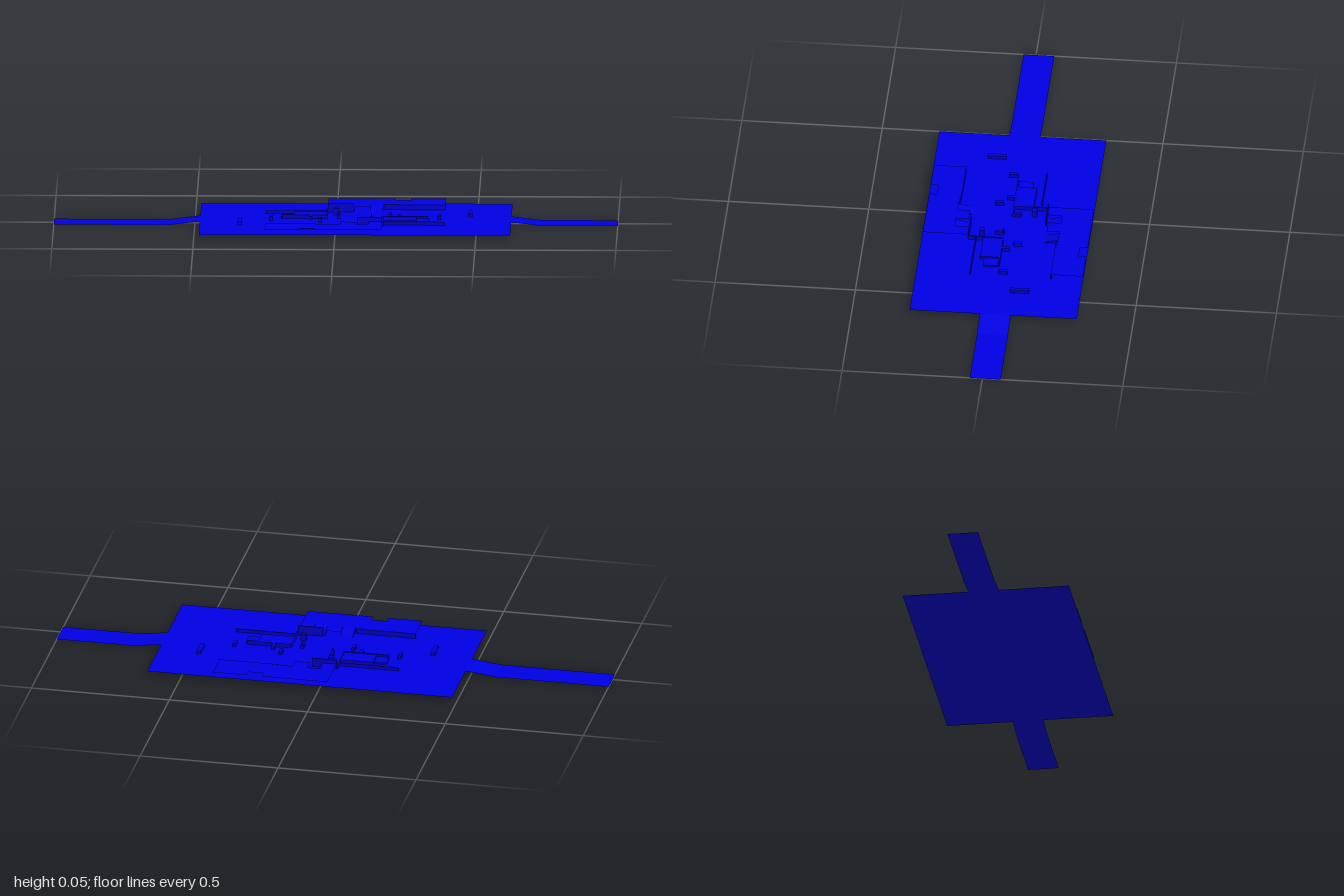
import * as THREE from 'three';

const GROUND = 0.013, DECK = 0.031;
const CX = 0.068, CZ = -0.004; // centre of the half-turn symmetry

export function createModel() {
  const model = new THREE.Group();
  model.name = 'arenaMap';
  const blue = new THREE.MeshStandardMaterial({ color: 0x0000ff, side: THREE.DoubleSide });
  blue.name = 'blue';

  const add = (parent, geometry, name) => {
    const mesh = new THREE.Mesh(geometry, blue);
    mesh.name = name;
    parent.add(mesh);
    return mesh;
  };

  // Flat sheet from an outline of [x, z] points at height y
  const sheet = (parent, name, y, points) => {
    const shape = new THREE.Shape(points.map(([x, z]) => new THREE.Vector2(x, -z)));
    add(parent, new THREE.ShapeGeometry(shape).rotateX(-Math.PI / 2), name).position.y = y;
  };
  const rectangle = (x0, x1, z0, z1) => [[x0, z0], [x0, z1], [x1, z1], [x1, z0]];

  // Upright block between two corners and two heights
  const block = (parent, name, x0, x1, z0, z1, top, bottom = GROUND) => {
    const mesh = add(parent, new THREE.BoxGeometry(x1 - x0, top - bottom, z1 - z0), name);
    mesh.position.set((x0 + x1) / 2, (top + bottom) / 2, (z0 + z1) / 2);
  };

  // Wedge climbing towards -z
  const ramp = (parent, name, x0, x1, zLow, zHigh, top) => {
    const side = new THREE.Shape([
      new THREE.Vector2(-zLow, GROUND),
      new THREE.Vector2(-zHigh, top),
      new THREE.Vector2(-zHigh + 0.03, top),
      new THREE.Vector2(-zHigh - 0.03, top)
    ].slice(0, 2).concat(new THREE.Vector2(-zHigh, GROUND)));
    const geometry = new THREE.ExtrudeGeometry(side, { depth: x1 - x0, bevelEnabled: false });
    add(parent, geometry.rotateY(Math.PI / 2), name).position.x = x0;
  };

  // Ground sheet
  sheet(model, 'ground', GROUND, rectangle(-0.482, 0.622, -0.3, 0.295));

  // Sunken roads with a slope down from the ground edge
  const road = (name, edge, foot, end) => {
    const geometry = new THREE.PlaneGeometry(2, 0.11, 2, 1).rotateX(-Math.PI / 2);
    const p = geometry.attributes.position;
    const columns = [[edge, GROUND], [foot, 0], [end, 0]].sort((a, b) => a[0] - b[0]);
    for (let i = 0; i < p.count; i++) {
      const [x, y] = columns[i % 3];
      p.setXYZ(i, x, y, p.getZ(i) - 0.01);
    }
    const flat = geometry.toNonIndexed();
    flat.computeVertexNormals();
    add(model, flat, name);
  };
  road('rightRoad', -0.482, -0.59, -1);
  road('leftRoad', 0.622, 0.73, 1);

  // One base; the other is the same turned by half a circle
  const buildBase = () => {
    const base = new THREE.Group();

    // Raised deck with two ramp openings and a notch in the outer edge
    sheet(base, 'deck', DECK, [
      [-0.03, -0.3], [-0.03, -0.137], [0.02, -0.137], [0.02, -0.19],
      [0.065, -0.19], [0.065, -0.145], [0.12, -0.145], [0.12, -0.19],
      [0.385, -0.185], [0.385, -0.3], [0.262, -0.3], [0.262, -0.272],
      [0.208, -0.272], [0.208, -0.3]
    ]);
    ramp(base, 'deckRamp', 0.02, 0.065, -0.137, -0.205, DECK);
    ramp(base, 'deckRamp', 0.12, 0.165, -0.137, -0.205, DECK);
    block(base, 'deckWall', 0.17, 0.385, -0.188, -0.184, DECK);

    // Tall front parapet and inner walls
    block(base, 'parapet', -0.03, 0.06, -0.139, -0.135, 0.046);
    block(base, 'innerWall', -0.034, -0.029, -0.137, -0.015, 0.027);
    block(base, 'courtWall', -0.19, -0.03, -0.018, -0.012, 0.027);
    block(base, 'lowWall', -0.25, -0.03, -0.113, -0.109, 0.025);

    // Low room beside the court
    block(base, 'room', -0.15, -0.034, -0.085, -0.018, 0.025);
    block(base, 'roomStep', -0.195, -0.15, -0.07, -0.018, 0.019);

    // Crates and posts
    block(base, 'crate', -0.01, 0.01, -0.1, -0.083, 0.037);
    const posts = [[-0.23, 0.005], [-0.09, 0], [-0.055, 0.04], [0.01, -0.03]];
    for (const [x, z] of posts) block(base, 'post', x - 0.006, x + 0.006, z - 0.016, z + 0.016, 0.026);
    block(base, 'thinPost', 0.008, 0.012, -0.019, -0.015, 0.037);
    block(base, 'outerBarrier', 0.468, 0.483, -0.115, -0.05, 0.025);
    return base;
  };

  const backBase = buildBase();
  backBase.name = 'backBase';
  const frontBase = buildBase();
  frontBase.name = 'frontBase';
  frontBase.rotation.y = Math.PI;
  frontBase.position.set(2 * CX, 0, 2 * CZ);
  model.add(backBase, frontBase);

  return model;
}
